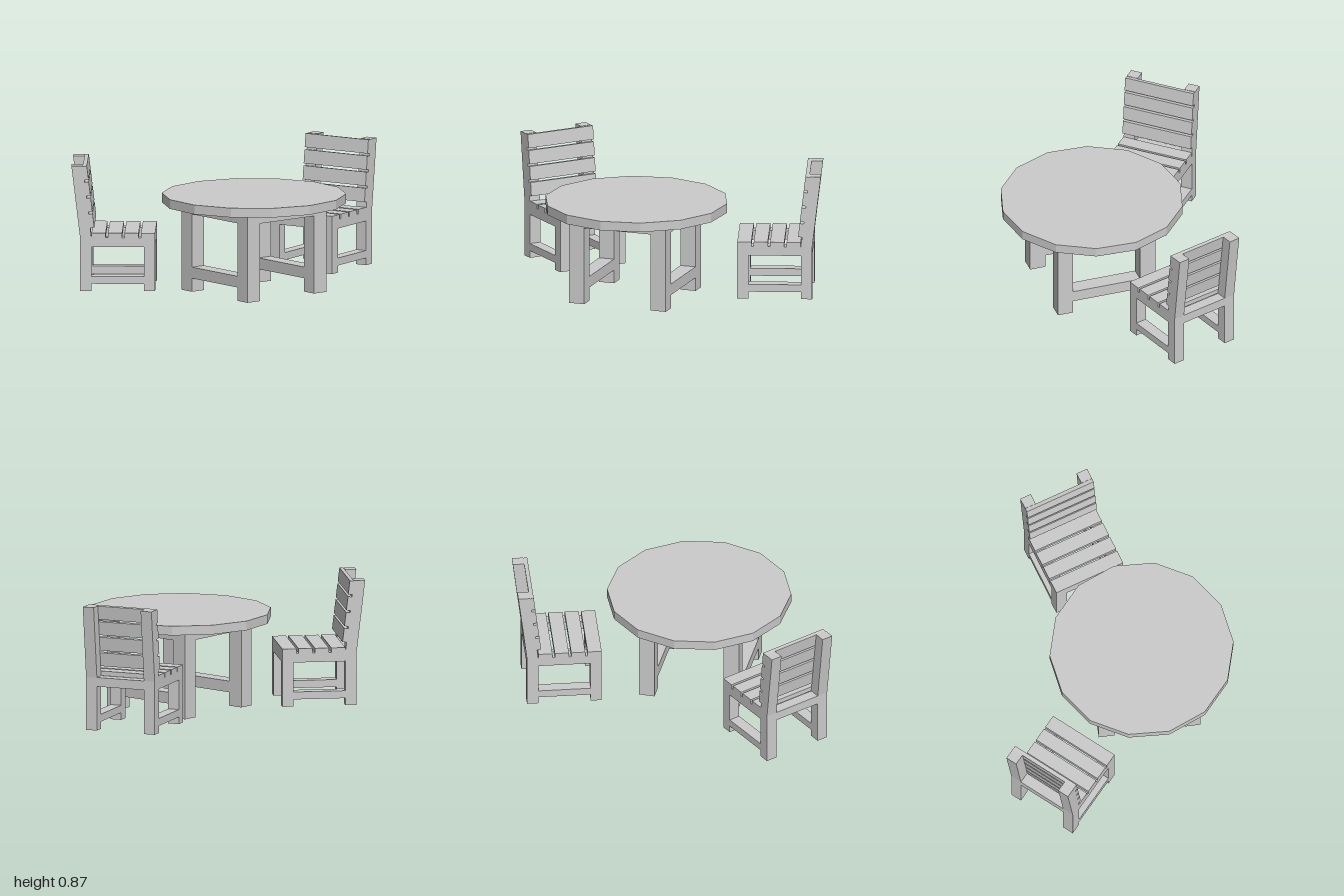
import * as THREE from 'three';

const material = new THREE.MeshStandardMaterial({ color: 0xcccccc, flatShading: true });

function add(parent, name, geometry, x = 0, y = 0, z = 0) {
  const mesh = new THREE.Mesh(geometry, material);
  mesh.name = name;
  mesh.position.set(x, y, z);
  parent.add(mesh);
  return mesh;
}

// Extrudes a side profile of [z, y] points, with one opening, across x
function sideFrame(outline, opening, thickness) {
  const toPoints = list => list.map(([z, y]) => new THREE.Vector2(z, y));
  const shape = new THREE.Shape(toPoints(outline));
  shape.holes.push(new THREE.Path(toPoints(opening)));
  return new THREE.ExtrudeGeometry(shape, { depth: thickness, bevelEnabled: false })
    .translate(0, 0, -thickness / 2)
    .rotateY(-Math.PI / 2);
}

// Chair faces +z, with the front edge of its seat at z = 0
function createChair(name) {
  const chair = new THREE.Group();
  chair.name = name;
  const width = 0.49, post = 0.077, inner = width - 2 * post;
  const lean = Math.atan2(0.057, 0.478);

  // Side frames: front leg, rails and leaning back post in one piece
  const side = sideFrame(
    [[0, 0.03], [0, 0.387], [-0.421, 0.387], [-0.478, 0.866], [-0.553, 0.866], [-0.496, 0.387],
      [-0.496, 0.03], [-0.421, 0.03], [-0.421, 0.078], [-0.073, 0.078], [-0.073, 0.03]],
    [[-0.421, 0.128], [-0.073, 0.128], [-0.073, 0.326], [-0.421, 0.326]], post);
  for (const s of [-1, 1]) {
    add(chair, s > 0 ? 'leftSideFrame' : 'rightSideFrame', side, s * (width - post) / 2);
  }

  // Cross rails under the seat
  const rail = new THREE.BoxGeometry(inner, 0.061, 0.074);
  add(chair, 'frontRail', rail, 0, 0.3565, -0.037);
  add(chair, 'backRail', rail, 0, 0.3565, -0.459);

  // Seat and backrest slats
  const seatSlat = new THREE.BoxGeometry(width, 0.031, 0.093);
  const backSlat = new THREE.BoxGeometry(width, 0.092, 0.027);
  for (let i = 0; i < 4; i++) {
    add(chair, 'seatSlat', seatSlat, 0, 0.4025, -0.0465 - i * 0.109);
    const y = 0.5 + i * 0.1065;
    const z = -0.421 - (y - 0.387) * Math.tan(lean) + 0.0136;
    add(chair, 'backSlat', backSlat, 0, y, z).rotation.x = -lean;
  }
  return chair;
}

function createTable() {
  const table = new THREE.Group();
  table.name = 'table';

  // Fourteen-sided top
  const top = add(table, 'tableTop', new THREE.CylinderGeometry(0.61, 0.61, 0.062, 14), 0.202, 0.621, 0.305);
  top.rotation.y = Math.PI / 2;

  // Square base, turned under the top
  const base = new THREE.Group();
  base.name = 'tableBase';
  base.position.set(0.2025, 0, 0.315);
  base.rotation.y = 0.724;
  table.add(base);

  const half = 0.34, leg = 0.106, inner = half - leg;
  const side = sideFrame(
    [[-half, 0], [-inner, 0], [-inner, 0.09], [inner, 0.09], [inner, 0], [half, 0], [half, 0.59], [-half, 0.59]],
    [[-inner, 0.165], [inner, 0.165], [inner, 0.52], [-inner, 0.52]], leg);
  const apron = new THREE.BoxGeometry(2 * inner, 0.07, leg);
  for (const s of [-1, 1]) {
    add(base, 'legFrame', side, s * (half - leg / 2));
    add(base, 'apron', apron, 0, 0.555, s * (half - leg / 2));
  }
  return table;
}

export function createModel() {
  const model = new THREE.Group();
  model.name = 'tableAndChairs';
  model.add(createTable());

  const sideChair = createChair('sideChair');
  sideChair.position.set(-0.447, 0, 0.281);
  sideChair.rotation.y = Math.PI / 2;
  model.add(sideChair);

  const cornerChair = createChair('cornerChair');
  cornerChair.position.set(0.495, 0, -0.305);
  cornerChair.rotation.y = -0.532;
  model.add(cornerChair);

  return model;
}
